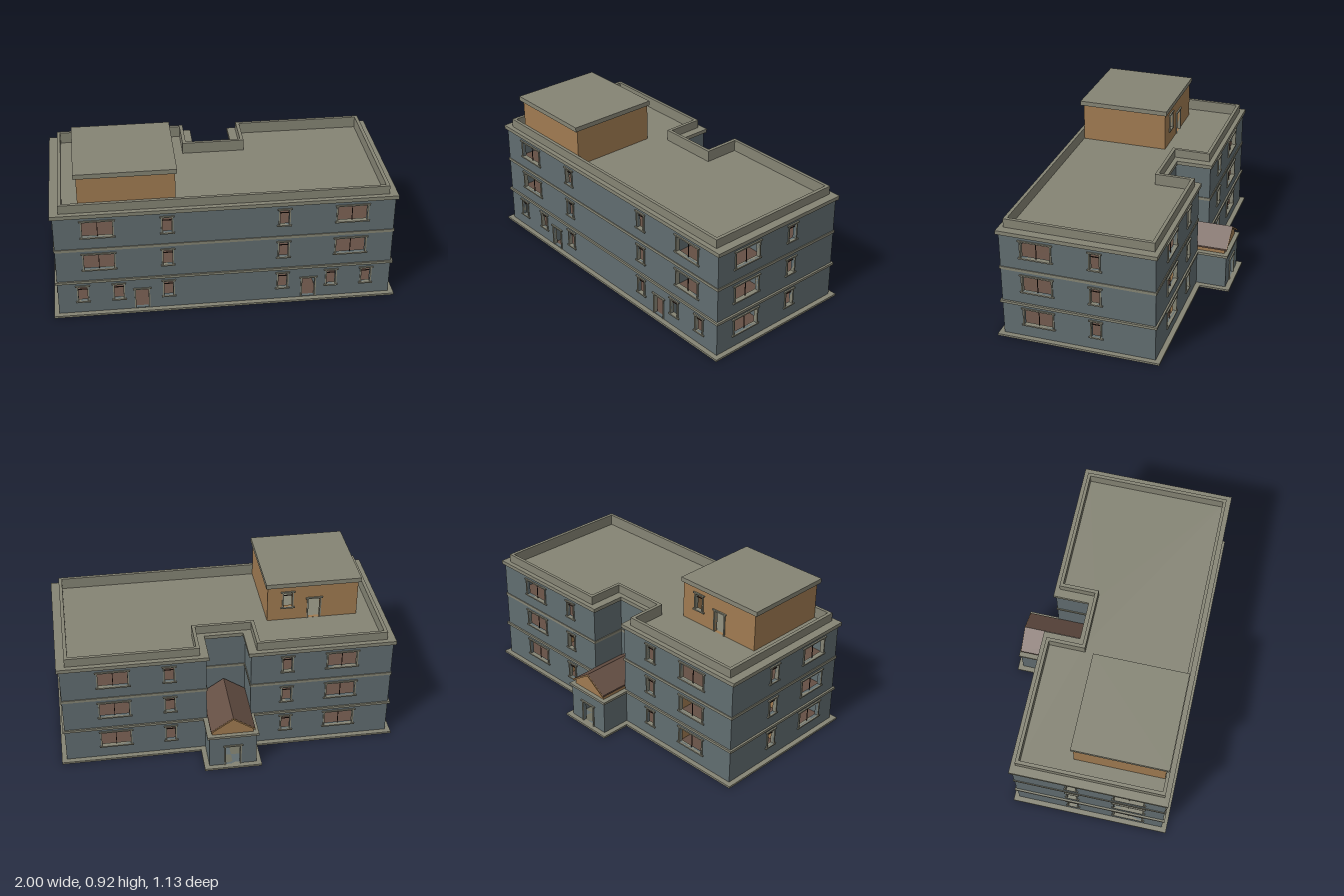
import * as THREE from 'three';

const material = (name, color) => {
  const m = new THREE.MeshStandardMaterial({ color, side: THREE.DoubleSide });
  m.name = name;
  return m;
};

export function createModel() {
  const wallBlue = material('wall blue grey', 0x616d70);
  const trim = material('stone trim', 0x858474);
  const tan = material('tan plaster', 0xa07b51);
  const brown = material('brown floor and roof', 0x654f44);
  const dark = material('dark glazing bar', 0x33231d);
  const tileMat = material('hall tile', 0x6f6f60);

  const model = new THREE.Group();
  model.name = 'building';

  const add = (parent, name, geo, mat) => {
    const mesh = new THREE.Mesh(geo, mat);
    mesh.name = name;
    parent.add(mesh);
    return mesh;
  };
  // box from minimum and maximum corners
  const box = (parent, name, mat, x0, x1, y0, y1, z0, z1) => {
    const mesh = add(parent, name, new THREE.BoxGeometry(x1 - x0, y1 - y0, z1 - z0), mat);
    mesh.position.set((x0 + x1) / 2, (y0 + y1) / 2, (z0 + z1) / 2);
    return mesh;
  };

  // building outline grown by dx, dz; the back centre is a porch or a notch
  const outline = (dx, dz, porch) => {
    const half = 0.97 + dx, back = -0.355 - dz;
    const cx = porch ? 0.14 + dx : 0.13 - dx;
    const cz = porch ? -0.535 - dz : -0.14 - dz;
    return [[-half, 0.54 + dz], [half, 0.54 + dz], [half, back], [cx, back],
      [cx, cz], [-cx, cz], [-cx, back], [-half, back]].map(p => new THREE.Vector2(...p));
  };
  const layer = (name, mat, y0, y1, outer, inner) => {
    const shape = new THREE.Shape(outer);
    if (inner) shape.holes.push(new THREE.Path(inner));
    const geo = new THREE.ExtrudeGeometry(shape, { depth: y1 - y0, bevelEnabled: false });
    geo.rotateX(Math.PI / 2).translate(0, y1, 0);
    return add(model, name, geo, mat);
  };

  const T = 0.02;
  const rect = (x, y, w, h) => [[x - w / 2, y], [x + w / 2, y], [x + w / 2, y + h], [x - w / 2, y + h]]
    .map(p => new THREE.Vector2(...p));

  // surround, sill, lintel and glazing bars of one opening
  const surround = (parent, { x, y, w, h, kind }) => {
    const g = new THREE.Group();
    g.name = kind === 'door' ? 'doorFrame' : 'windowFrame';
    parent.add(g);
    const f = 0.008, a = x - w / 2, b = x + w / 2;
    for (const e of [a - f, b]) box(g, 'jamb', trim, e, e + f, y, y + h, -T, 0.006);
    box(g, 'lintel', trim, a - 0.016, b + 0.016, y + h, y + h + f, -T, 0.009);
    if (kind !== 'door') box(g, 'sill', trim, a - 0.016, b + 0.016, y - f, y, -T, 0.009);
    if (kind === 'wide') box(g, 'mullion', dark, x - 0.002, x + 0.002, y, y + h, -0.012, -0.008);
    if (kind === 'narrow') box(g, 'crossbar', dark, a, b, y + h * 0.73, y + h * 0.73 + 0.005, -0.012, -0.008);
  };

  // upright wall with real openings; its outer face looks along the turned +z
  const wall = (name, mat, x, z, turn, length, y0, y1, openings = []) => {
    const g = new THREE.Group();
    g.name = name;
    g.position.set(x, 0, z);
    g.rotation.y = turn;
    model.add(g);
    const shape = new THREE.Shape(rect(0, y0, length, y1 - y0));
    for (const o of openings) {
      shape.holes.push(new THREE.Path(rect(o.x, o.y, o.w, o.h)));
      surround(g, o);
    }
    const geo = new THREE.ExtrudeGeometry(shape, { depth: T, bevelEnabled: false }).translate(0, 0, -T);
    add(g, name + 'Panel', geo, mat);
  };

  const sills = [0.09, 0.307, 0.525];
  const wide = (x, y) => ({ x, y, w: 0.17, h: 0.1, kind: 'wide' });
  const narrow = (x, y) => ({ x, y, w: 0.052, h: 0.1, kind: 'narrow' });
  const door = (x, y, w = 0.074, h = 0.13) => ({ x, y, w, h, kind: 'door' });
  const B = 0.012, H = 0.66, Q = Math.PI / 2;

  // front wall
  const frontOpenings = [];
  for (const s of [-1, 1]) {
    for (const y of sills) frontOpenings.push(narrow(s * 0.333, y));
    for (const y of sills.slice(1)) frontOpenings.push(wide(s * 0.724, y));
    frontOpenings.push(narrow(s * 0.827, sills[0]), narrow(s * 0.62, sills[0]), door(s * 0.487, B + 0.004));
  }
  wall('frontWall', wallBlue, 0, 0.54, 0, 1.94, B, H, frontOpenings);

  // side walls, back wings and notch sides
  for (const s of [-1, 1]) {
    wall('sideWall', wallBlue, s * 0.97, 0.0925, s * Q, 0.895, B, H,
      sills.flatMap(y => [wide(-s * 0.235, y), narrow(s * 0.105, y)]));
    wall('backWall', wallBlue, s * 0.55, -0.355, Math.PI, 0.84, B, H,
      sills.flatMap(y => [wide(-s * 0.12, y), narrow(s * 0.205, y)]));
    wall('notchSide', wallBlue, s * 0.13, -0.2475, -s * Q, 0.215, B, H);
    wall('porchSide', wallBlue, s * 0.14, -0.445, s * Q, 0.18, B, 0.22);
  }
  wall('notchBack', wallBlue, 0, -0.14, Math.PI, 0.26, 0.22, H);
  wall('porchFront', wallBlue, 0, -0.535, Math.PI, 0.28, B, 0.22, [door(0, B, 0.085, 0.135)]);

  // plinth, string courses, cornice, parapet and roof deck
  layer('plinth', trim, 0, B, outline(0.03, 0.03, true), outline(-0.012, -0.012, true));
  layer('lowerBand', trim, 0.217, 0.232, outline(0.012, 0.01, true), outline(-T, -T, true));
  layer('upperBand', trim, 0.433, 0.45, outline(0.005, 0.005), outline(-T, -T));
  layer('cornice', trim, 0.655, 0.678, outline(0.015, 0.012), outline(-0.055, -0.035));
  layer('parapet', trim, 0.678, 0.73, outline(-0.035, -0.016), outline(-0.055, -0.035));
  layer('roofDeck', trim, 0.65, 0.662, outline(-0.02, -0.02));

  // storey floors
  layer('middleFloor', brown, 0.218, 0.23, outline(-T, -T));
  layer('topFloor', brown, 0.436, 0.448, outline(-T, -T));
  for (const s of [-1, 1]) {
    const a = s * 0.14, b = s * 0.958;
    box(model, 'groundFloor', brown, Math.min(a, b), Math.max(a, b), 0.003, B, -0.343, 0.528);
  }

  // chequered hall floor
  const hall = new THREE.Group();
  hall.name = 'hallFloor';
  model.add(hall);
  const tw = 0.07, td = 1.051 / 15;
  for (let i = 0; i < 4; i++) for (let j = 0; j < 15; j++) {
    const x = -0.14 + i * tw, z = -0.523 + j * td;
    box(hall, 'floorTile', (i + j) % 2 ? wallBlue : tileMat, x, x + tw, 0.003, B, z, z + td);
  }

  // inner partitions: [material, x0, x1, y0, y1, z0, z1]
  const g0 = [B, 0.218], g1 = [0.23, 0.436], g2 = [0.448, 0.65];
  const partitions = [
    [tan, -0.95, -0.625, ...g0, 0.12, 0.13], [tan, -0.58, -0.14, ...g0, 0.12, 0.13],
    [tan, 0.14, 0.68, ...g0, 0.12, 0.13], [wallBlue, 0.68, 0.95, ...g0, 0.12, 0.13],
    [tan, -0.95, -0.4, ...g1, 0.12, 0.13], [tan, -0.333, -0.14, ...g1, 0.12, 0.13],
    [wallBlue, 0.14, 0.95, ...g1, 0.12, 0.13],
    [dark, -0.72, -0.62, ...g2, 0.12, 0.13], [tan, -0.333, -0.14, ...g2, 0.12, 0.13],
    [wallBlue, 0.14, 0.95, ...g2, 0.12, 0.13],
  ];
  for (const s of [-1, 1]) {
    for (const g of [g0, g1, g2]) {
      partitions.push([wallBlue, s * 0.55 - 0.005, s * 0.55 + 0.005, ...g, 0.13, 0.52]);
      partitions.push([tan, s * 0.5 - 0.005, s * 0.5 + 0.005, g === g2 ? 0.58 : g[0], g[1], -0.335, 0.12]);
    }
    partitions.push([wallBlue, s * 0.14 - 0.005, s * 0.14 + 0.005, ...g0, -0.14, 0.52]);
  }
  for (const p of partitions) box(model, 'partition', ...p);

  // porch attic, gable and pitched roof
  box(model, 'porchAttic', tan, -0.122, 0.122, 0.222, 0.27, -0.52, -0.145);
  box(model, 'porchCeiling', trim, -0.138, 0.138, 0.218, 0.228, -0.533, -0.145);
  const prism = (name, mat, points, z0, z1) => add(model, name,
    new THREE.ExtrudeGeometry(new THREE.Shape(points.map(p => new THREE.Vector2(...p))),
      { depth: z1 - z0, bevelEnabled: false }).translate(0, 0, z0), mat);
  prism('gable', tan, [[-0.118, 0.265], [0.118, 0.265], [0, 0.343]], -0.52, -0.15);
  const chevron = (low) => [[-0.13, 0.266 - low], [0, 0.355 - low], [0.13, 0.266 - low],
    [0.13, 0.276 - low], [0, 0.365 - low], [-0.13, 0.276 - low]];
  prism('porchRoof', brown, chevron(0.01), -0.532, -0.15);
  prism('gableRake', tan, chevron(0.011), -0.536, -0.531);

  // rooftop room with a window and a door on its back
  const py = 0.66, pt = 0.89;
  wall('roomBack', tan, -0.5525, -0.025, Math.PI, 0.545, py, pt,
    [narrow(-0.15, 0.75), door(0.01, py + 0.003, 0.07, 0.135)]);
  wall('roomFront', tan, -0.5525, 0.503, 0, 0.545, py, pt);
  wall('roomLeft', tan, -0.28, 0.239, Q, 0.528, py, pt);
  wall('roomRight', tan, -0.825, 0.239, -Q, 0.528, py, pt);
  box(model, 'roomRoof', trim, -0.84, -0.27, pt, 0.918, -0.035, 0.52);

  return model;
}
